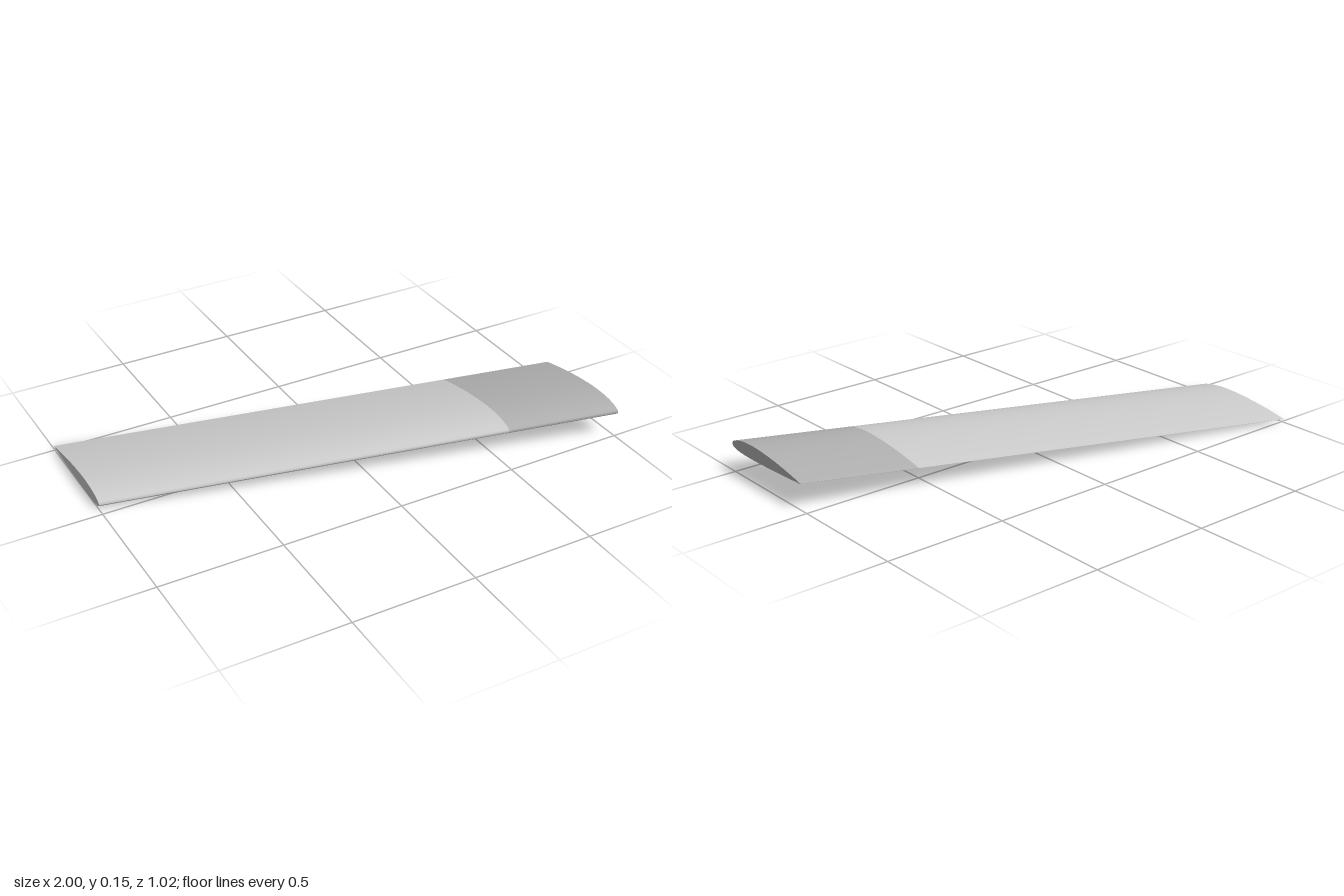
import * as THREE from 'three';
import { toCreasedNormals } from 'three/addons/utils/BufferGeometryUtils.js';

const CHORD = 0.478, SWEEP = 0.27, RISE = 0.046, TILT = 0.009;
const STATIONS = 32;

// Cambered airfoil, 12% thick; t runs 0..1 from nose to trailing edge
function airfoilPoint(t, side) {
  const m = 0.02, p = 0.4;
  const camber = t < p
    ? (m / (p * p)) * (2 * p * t - t * t)
    : (m / ((1 - p) ** 2)) * (1 - 2 * p + 2 * p * t - t * t);
  const half = 0.6 * (0.2969 * Math.sqrt(t) - 0.126 * t - 0.3516 * t ** 2
    + 0.2843 * t ** 3 - 0.1015 * t ** 4);
  return new THREE.Vector2((t - 0.5) * CHORD, (camber + side * half) * CHORD - TILT * t);
}

function airfoilShape() {
  const points = [];
  const station = (i) => (1 - Math.cos((Math.PI * i) / STATIONS)) / 2;
  for (let i = STATIONS; i >= 0; i--) points.push(airfoilPoint(station(i), 1));
  for (let i = 1; i <= STATIONS; i++) points.push(airfoilPoint(station(i), -1));
  return new THREE.Shape(points);
}

// Span section from x0 to x1, sheared for sweep and dihedral
function wingSection(name, x0, x1, color) {
  const geometry = new THREE.ExtrudeGeometry(airfoilShape(), { depth: x1 - x0, bevelEnabled: false });
  geometry.rotateY(Math.PI / 2).translate(x0, 0, 0);
  geometry.applyMatrix4(new THREE.Matrix4().set(
    1, 0, 0, 0,
    RISE, 1, 0, 0.0685,
    SWEEP, 0, 1, 0,
    0, 0, 0, 1));
  const mesh = new THREE.Mesh(
    toCreasedNormals(geometry, 0.7),
    new THREE.MeshStandardMaterial({ color }));
  mesh.name = name;
  return mesh;
}

export function createModel() {
  const model = new THREE.Group();
  model.name = 'sweptWing';
  model.add(wingSection('mainWing', -1, 0.56, 0xcccccc));
  model.add(wingSection('tipPanel', 0.56, 1, 0xb0b0b0));
  return model;
}
